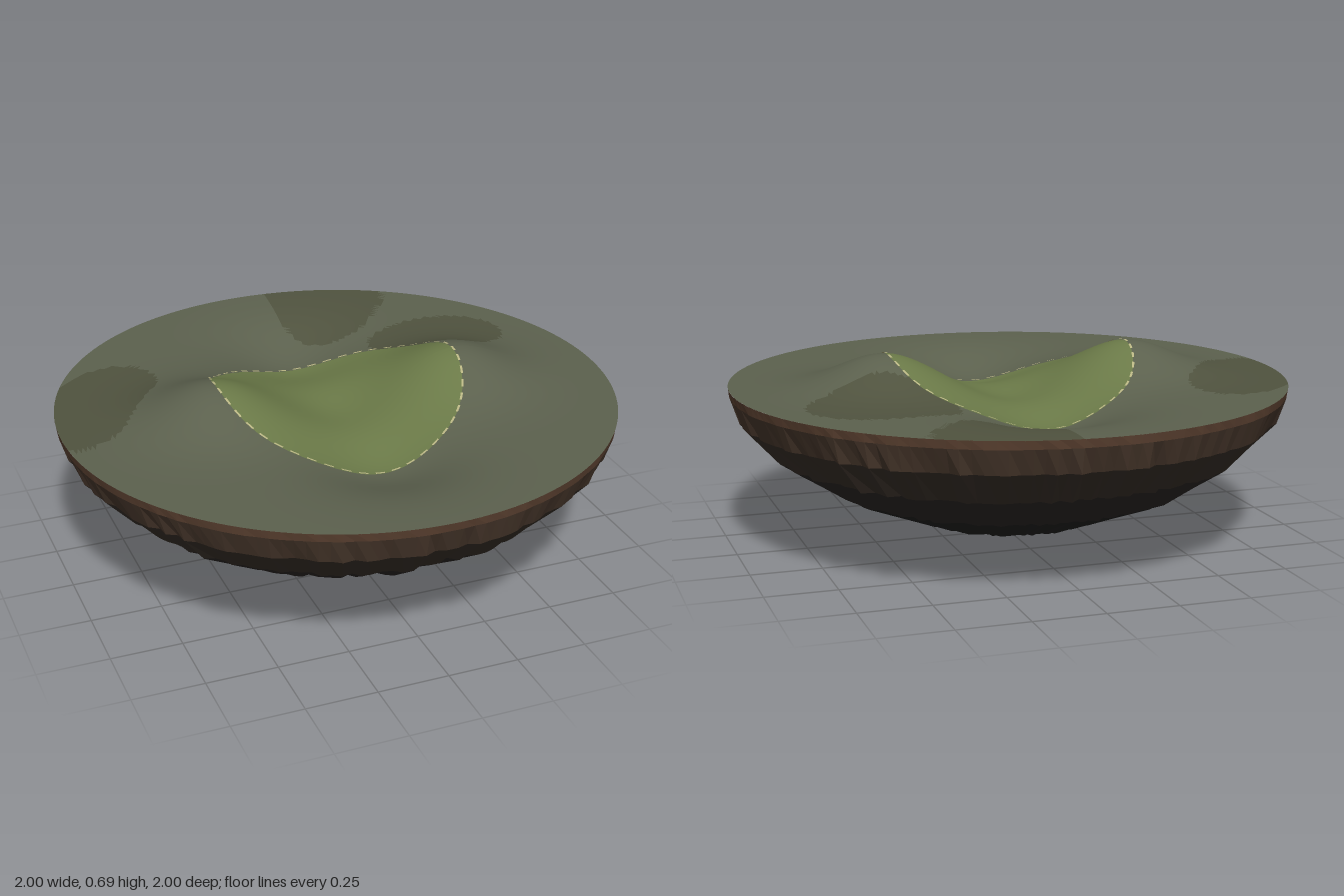
import * as THREE from 'three';
import { mergeGeometries } from 'three/addons/utils/BufferGeometryUtils.js';

const TOP = 0.57, GREEN_R = 0.45, SEGS = 160;

// Small seeded noise source
let seed = 7;
const rand = () => (seed = (seed * 16807) % 2147483647) / 2147483647;

const bell = (x, z, cx, cz, s) => Math.exp(-((x - cx) ** 2 + (z - cz) ** 2) / (2 * s * s));

// Terrain height: two hills left and right, a hollow valley running front to back
function height(x, z) {
  const hills = bell(x, z, 0.46, 0, 0.165) + bell(x, z, -0.46, 0, 0.165);
  const pits = bell(x, z, 0, 0.45, 0.18) + bell(x, z, 0, -0.45, 0.18);
  return TOP + 0.115 * hills - 0.095 * pits - 0.06 * bell(x, z, 0, 0, 0.15);
}

// Surface through rows of points; point(row, col) returns [x, y, z]
function surface(rows, cols, point) {
  const pos = [], index = [];
  for (let i = 0; i <= rows; i++)
    for (let j = 0; j <= cols; j++) pos.push(...point(i, j));
  for (let i = 0; i < rows; i++)
    for (let j = 0; j < cols; j++) {
      const a = i * (cols + 1) + j, c = a + cols + 1;
      index.push(a, a + 1, c, a + 1, c + 1, c);
    }
  const geo = new THREE.BufferGeometry();
  geo.setAttribute('position', new THREE.Float32BufferAttribute(pos, 3));
  geo.setIndex(index);
  geo.computeVertexNormals();
  return geo;
}

// Keep only the triangles whose centre passes the test
function subset(geo, test) {
  const p = geo.attributes.position, src = geo.index.array, keep = [];
  for (let i = 0; i < src.length; i += 3) {
    const t = [src[i], src[i + 1], src[i + 2]];
    const x = t.reduce((s, k) => s + p.getX(k) / 3, 0);
    const z = t.reduce((s, k) => s + p.getZ(k) / 3, 0);
    if (test(x, z)) keep.push(...t);
  }
  const out = geo.clone();
  out.setIndex(keep);
  return out;
}

function onTerrain(r, a, lift = 0) {
  const x = r * Math.cos(a), z = r * Math.sin(a);
  return [x, height(x, z) + lift, z];
}

export function createModel() {
  const model = new THREE.Group();
  const add = (name, geo, color, options = {}) => {
    const mesh = new THREE.Mesh(geo, new THREE.MeshStandardMaterial({ color, ...options }));
    mesh.name = name;
    model.add(mesh);
  };

  // Grass top: an inner clearing, outer ground and darker patches of ground
  const rows = 60;
  const terrain = surface(rows, SEGS, (i, j) =>
    onTerrain(i / rows, (j % SEGS) / SEGS * Math.PI * 2));
  const inside = (x, z) => Math.hypot(x, z) < GREEN_R;
  const patch = (x, z) => {
    const wobble = 0.12 * Math.sin(9 * x + 4 * z) + 0.08 * Math.sin(13 * z - 5 * x);
    const west = Math.hypot((x + 0.85 + 0.5 * (z + 0.22)) / 0.22, (z + 0.22) / 0.28);
    const north = Math.hypot((x - 0.3) / 0.24, (z + 0.85) / 0.3);
    const east = Math.hypot((x - 0.52) / 0.26, (z + 0.34) / 0.2);
    return Math.min(west, north, east) + wobble < 1;
  };
  add('clearing', subset(terrain, inside), 0x6b7a48);
  add('ground', subset(terrain, (x, z) => !inside(x, z) && !patch(x, z)), 0x5c614e);
  add('groundPatches', subset(terrain, (x, z) => !inside(x, z) && patch(x, z)), 0x50533f);

  // Dashed boundary line draped over the terrain
  const dashes = [], count = 48, step = Math.PI * 2 / count;
  for (let k = 0; k < count; k++)
    dashes.push(surface(1, 4, (i, j) =>
      onTerrain(GREEN_R - 0.004 + i * 0.008, (k + j / 4 * 0.55) * step, 0.004)));
  add('boundaryDashes', mergeGeometries(dashes), 0xb9b583, { side: THREE.DoubleSide });

  // Rocky underside: radius, height, roughness and band colour, from rim to tip
  const profile = [
    [1, TOP, 0, 0x5a4030], [0.998, 0.54, 0.006, 0x4a392d], [0.975, 0.45, 0.035, 0x393029],
    [0.865, 0.33, 0.055, 0x2b2725], [0.665, 0.2, 0.07, 0x222120], [0.365, 0.08, 0.09, 0x1b1b1c],
    [0, 0.0, 0, 0],
  ];
  const ridges = Array.from({ length: SEGS }, rand);
  const rings = profile.map(([r, y, rough]) => ridges.map((ridge, j) => {
    const a = j / SEGS * Math.PI * 2;
    const rr = r * (1 - rough * (0.65 * ridge + 0.35 * rand()));
    return [rr * Math.cos(a), y, rr * Math.sin(a)];
  }));
  const bandNames = ['rim', 'soilBand', 'upperRock', 'middleRock', 'lowerRock', 'rockTip'];
  bandNames.forEach((name, b) =>
    add(name, surface(1, SEGS, (i, j) => rings[b + i][j % SEGS]), profile[b][3], { flatShading: true }));

  return model;
}
